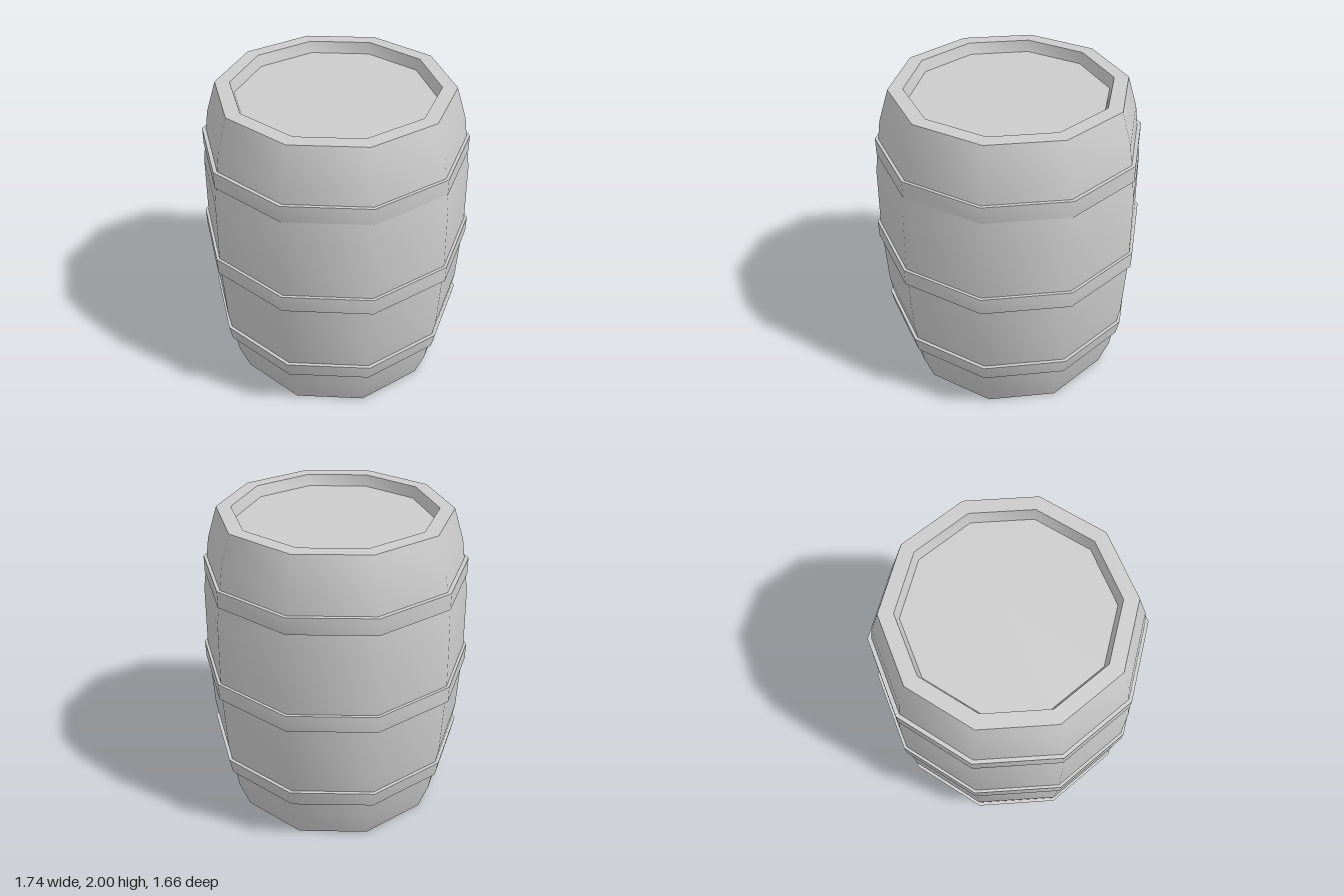
import * as THREE from 'three';
import { toCreasedNormals } from 'three/addons/utils/BufferGeometryUtils.js';

const SIDES = 10;
const CREASE = 0.87; // keeps rims sharp, staves smooth

export function createModel() {
  const model = new THREE.Group();
  model.name = 'barrel';
  const material = new THREE.MeshStandardMaterial({ color: 0xcccccc });

  // Ten-sided turned part with a corner on +x
  function turned(name, profile) {
    const points = profile.map(([r, y]) => new THREE.Vector2(r, y));
    const lathe = new THREE.LatheGeometry(points, SIDES, Math.PI / 2);
    const mesh = new THREE.Mesh(toCreasedNormals(lathe, CREASE), material);
    mesh.name = name;
    model.add(mesh);
    return mesh;
  }

  // Bulging staves with a recessed lid at each end
  const lower = [[0, 0.07], [0.608, 0.07], [0.63, 0], [0.72, 0], [0.785, 0.2], [0.84, 0.55]];
  const upper = lower.map(([r, y]) => [r, 2 - y]).reverse();
  turned('barrelBody', [...lower, [0.855, 1], ...upper]);

  // Closed hoop, its inner wall hidden inside the staves
  function hoop(name, y0, r0, y1, r1) {
    const inner = Math.min(r0, r1) - 0.06;
    return turned(name, [[r0, y0], [r1, y1], [inner, y1], [inner, y0], [r0, y0]]);
  }
  hoop('lowerHoop', 0.33, 0.825, 0.44, 0.845);
  hoop('middleHoop', 0.94, 0.872, 1.05, 0.872);
  hoop('upperHoop', 1.57, 0.829, 1.675, 0.827).position.x = -0.003;

  return model;
}
